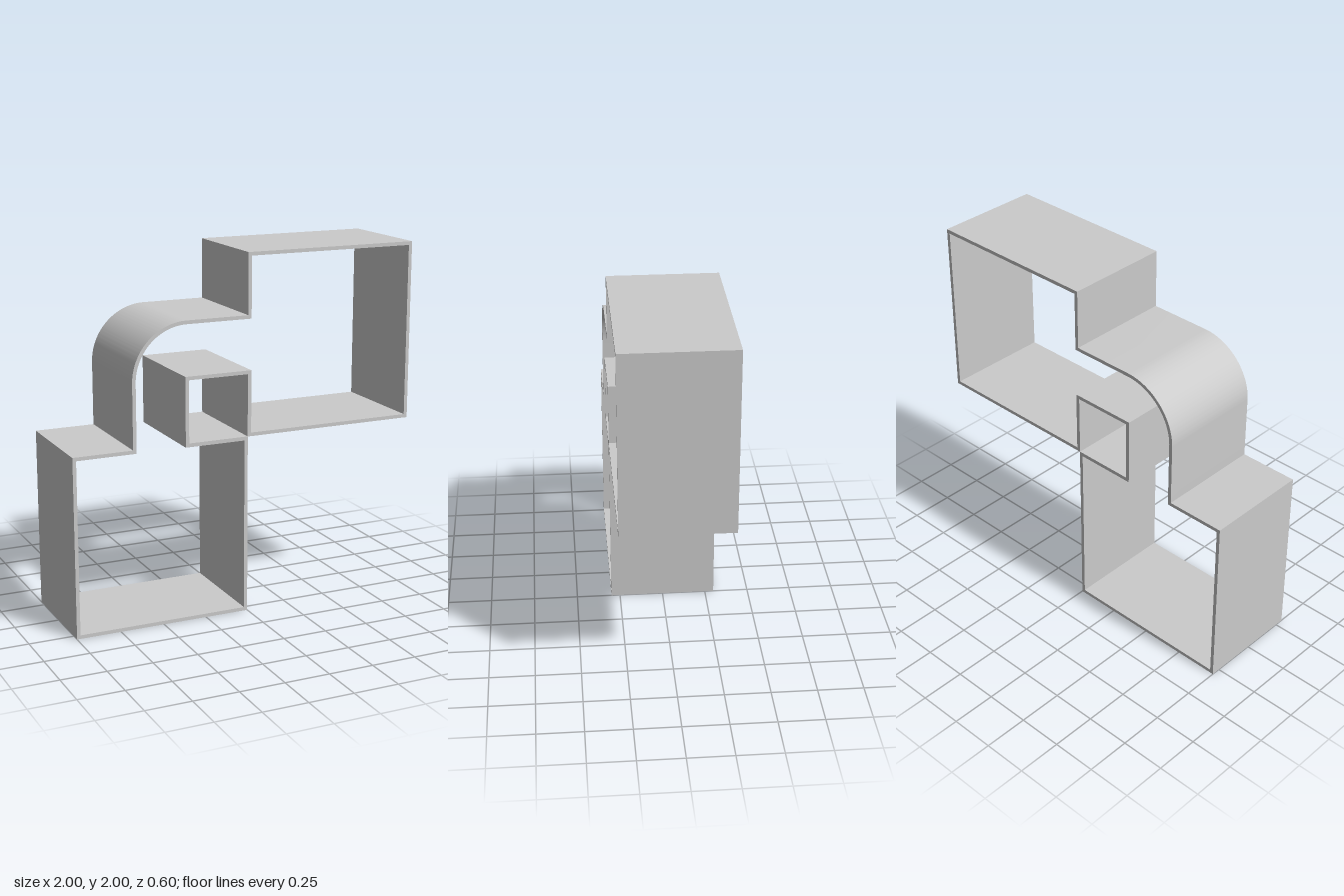
import * as THREE from 'three';
import { toCreasedNormals } from 'three/addons/utils/BufferGeometryUtils.js';

const WALL = 0.02;         // sheet thickness
const DEPTH = 0.6;         // front-to-back size
const BEND = 0.355;        // distance of the bend centre from the middle corner
const RADIUS = 0.3;        // mid-wall radius of the bend

// Contour of two square chambers joined by a bent duct; t = inset of the contour
function trace(path, points) {
  points.forEach(([x, y], i) => (i ? path.lineTo(x, y) : path.moveTo(x, y)));
  return path;
}

// Quarter bend, from the vertical wall over to the horizontal one
function bend(path, radius) {
  path.absarc(-BEND, 1 + BEND, radius, Math.PI, Math.PI / 2, true);
}

export function createModel() {
  const group = new THREE.Group();
  const material = new THREE.MeshStandardMaterial({ color: 0xcccccc, side: THREE.DoubleSide });
  const half = WALL / 2;
  const outerR = RADIUS + half, innerR = RADIUS - half;

  // Outside contour
  const shape = trace(new THREE.Shape(), [
    [0, 1], [0, 0], [-1, 0], [-1, 1], [-BEND - outerR, 1],
  ]);
  bend(shape, outerR);
  trace2(shape, [[0, 1 + BEND + outerR], [0, 2], [1, 2], [1, 1]]);
  shape.closePath();

  // Continuous cavity through both chambers and the duct
  const w = WALL, near = BEND + half;
  const cavity = trace(new THREE.Path(), [
    [-near, 1 - w], [-w, 1 - w], [-w, w], [-1 + w, w], [-1 + w, 1 - w], [-BEND - innerR, 1 - w],
  ]);
  bend(cavity, innerR);
  trace2(cavity, [
    [w, 1 + BEND + innerR], [w, 2 - w], [1 - w, 2 - w], [1 - w, 1 + w],
    [w, 1 + w], [w, 1 + near], [-near, 1 + near],
  ]);
  cavity.closePath();

  // Square opening in the crook of the duct, a hair clear of the shared corner
  const e = 0.001, s = BEND - half;
  const pocket = trace(new THREE.Path(), [[-e, 1 + e], [-e, 1 + s], [-s, 1 + s], [-s, 1 + e]]);
  pocket.closePath();
  shape.holes.push(cavity, pocket);

  let geometry = new THREE.ExtrudeGeometry(shape, { depth: DEPTH, bevelEnabled: false, curveSegments: 32 });
  geometry.translate(0, 0, -DEPTH / 2);
  geometry = toCreasedNormals(geometry, 0.4);

  const shelf = new THREE.Mesh(geometry, material);
  shelf.name = 'chamberShelfWalls';
  group.add(shelf);
  return group;
}

// Continue a started contour with straight runs
function trace2(path, points) {
  points.forEach(([x, y]) => path.lineTo(x, y));
}
